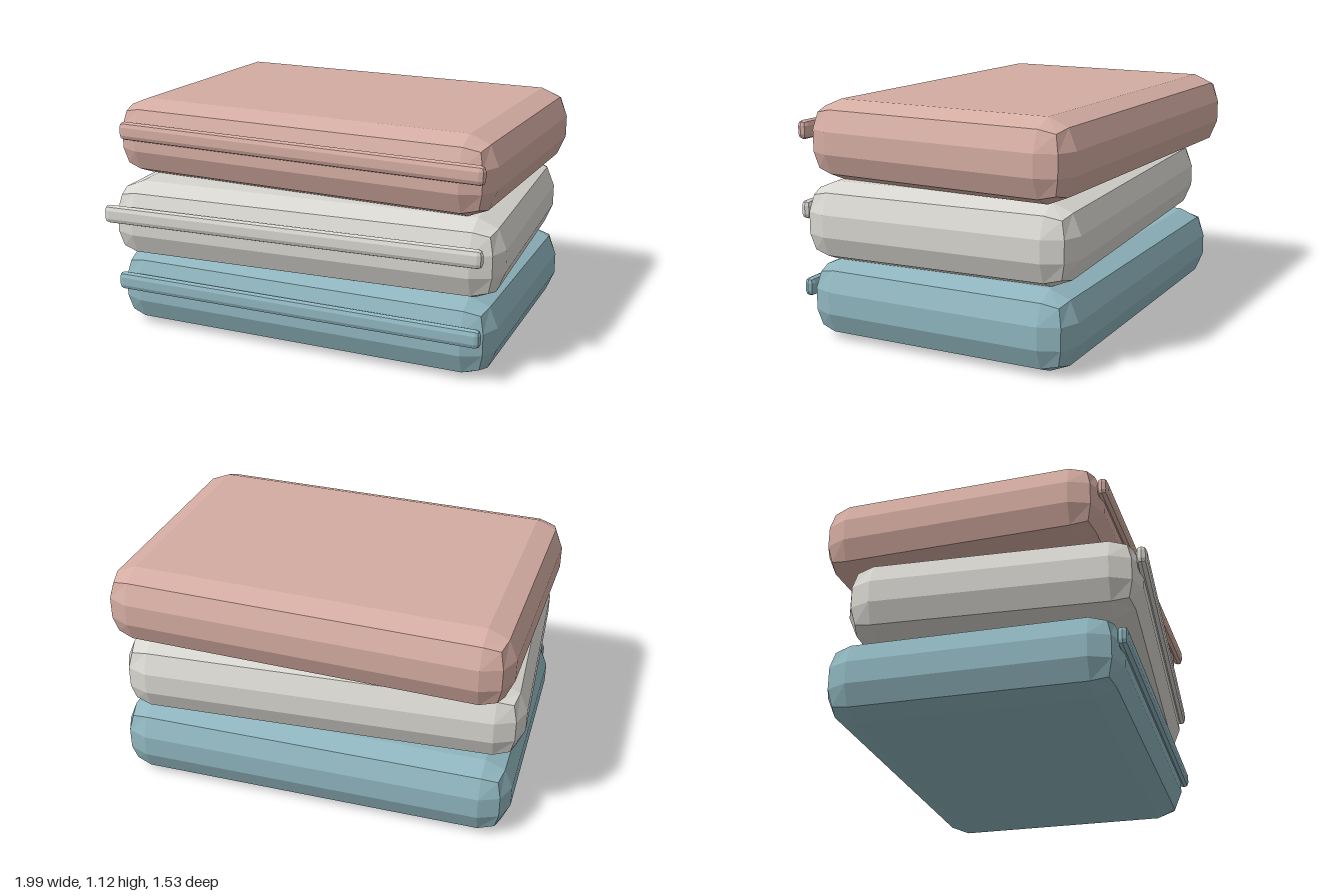
import * as THREE from 'three';
import { RoundedBoxGeometry } from 'three/addons/geometries/RoundedBoxGeometry.js';

const H = 0.375; // thickness of one cushion

// One cushion with a trim strip along its front, slightly turned in the stack
function cushionLayer(name, level, color, z, turn) {
  const layer = new THREE.Group();
  layer.name = name;
  const material = new THREE.MeshStandardMaterial({ color, flatShading: true });
  const y = H * (level + 0.5);

  const body = new THREE.Mesh(new RoundedBoxGeometry(1.94, H, 1.345, 1, 0.135), material);
  body.name = name + 'Body';
  body.position.set(0, y, z);

  const strip = new THREE.Mesh(new RoundedBoxGeometry(1.87, 0.09, 0.05, 1, 0.025), material);
  strip.name = name + 'FrontStrip';
  strip.position.set(0, y + 0.0475, z + 0.68);

  body.rotation.y = strip.rotation.y = turn;
  layer.add(body, strip);
  return layer;
}

export function createModel() {
  const model = new THREE.Group();
  model.name = 'cushionStack';
  model.add(
    cushionLayer('bottomCushion', 0, 0x8fb5be, -0.03, 0),
    cushionLayer('middleCushion', 1, 0xd8d6d0, 0.018, 0.05),
    cushionLayer('topCushion', 2, 0xd4aca2, -0.06, -0.04),
  );
  return model;
}
